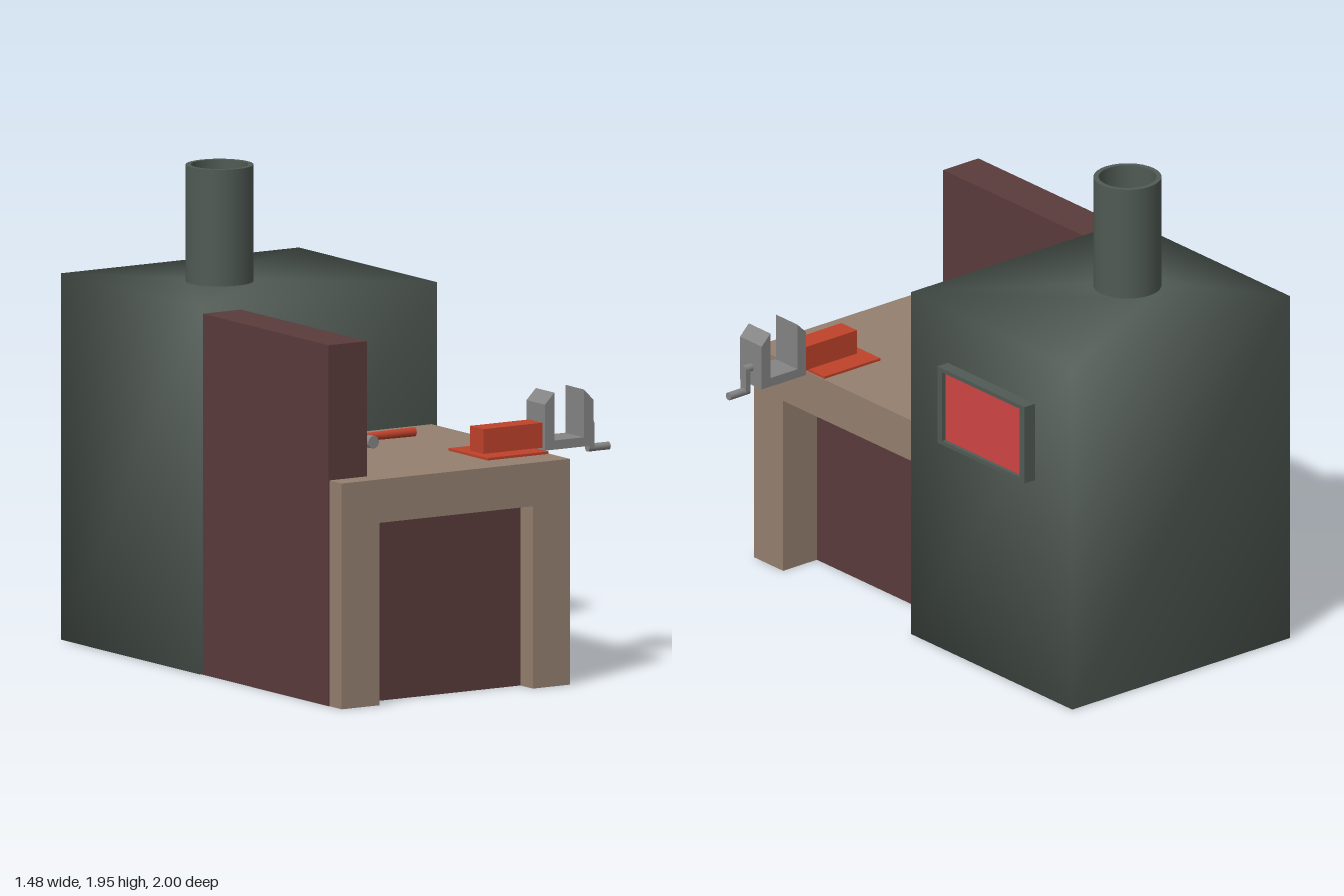
import * as THREE from 'three';
import { mergeGeometries, mergeVertices } from 'three/addons/utils/BufferGeometryUtils.js';

const mat = (name, color, side = THREE.FrontSide) => {
  const m = new THREE.MeshStandardMaterial({ color, side });
  m.name = name;
  return m;
};

export function createModel() {
  const iron = mat('furnaceIron', 0x505a54, THREE.DoubleSide);
  const tan = mat('tanWood', 0x94806f);
  const maroon = mat('maroonWood', 0x5a3b3b);
  const red = mat('toolRed', 0xbf422b);
  const steel = mat('steel', 0x848484);
  const glow = mat('windowGlow', 0xd04444);
  const model = new THREE.Group();
  model.name = 'forgeWorkbench';

  const add = (name, geo, material, parent = model) => {
    const mesh = new THREE.Mesh(geo, material);
    mesh.name = name;
    parent.add(mesh);
    return mesh;
  };
  const group = (name) => {
    const g = new THREE.Group();
    g.name = name;
    model.add(g);
    return g;
  };
  // Box given by its limits on each axis
  const box = (name, material, [x0, x1], [y0, y1], [z0, z1], parent) => {
    const g = new THREE.BoxGeometry(x1 - x0, y1 - y0, z1 - z0);
    g.translate((x0 + x1) / 2, (y0 + y1) / 2, (z0 + z1) / 2);
    return add(name, g, material, parent);
  };

  // Furnace body: a softly shaded box whose top is pierced by the chimney
  const furnace = group('furnace');
  const [x0, x1, y0, y1] = [-0.74, 0.39, 0.003, 1.48];
  const cx = -0.315, cz = -0.5;
  const sides = new THREE.BoxGeometry(x1 - x0, y1 - y0, 1);
  const index = Array.from(sides.index.array);
  index.splice(12, 6); // leave out the top face
  sides.setIndex(index);
  sides.translate((x0 + x1) / 2, (y0 + y1) / 2, -0.5);
  const topShape = new THREE.Shape([[x0, 0], [x1, 0], [x1, 1], [x0, 1]].map(p => new THREE.Vector2(...p)));
  topShape.holes.push(new THREE.Path().absarc(cx, -cz, 0.13, 0, Math.PI * 2, true));
  const top = new THREE.ShapeGeometry(topShape, 24).rotateX(-Math.PI / 2).translate(0, y1, 0);
  const parts = [sides, top].map(g => {
    const n = g.toNonIndexed();
    n.deleteAttribute('normal');
    n.deleteAttribute('uv');
    return n;
  });
  const body = mergeVertices(mergeGeometries(parts), 1e-4);
  body.computeVertexNormals();
  add('furnaceBody', body, iron, furnace);

  // Hollow chimney: outer wall, rim, inner wall and floor
  const tube = (name, r, h, y) =>
    add(name, new THREE.CylinderGeometry(r, r, h, 32, 1, true), iron, furnace).position.set(cx, y, cz);
  tube('chimneyOuter', 0.135, 0.47, 1.715);
  tube('chimneyInner', 0.115, 0.46, 1.72);
  add('chimneyRim', new THREE.RingGeometry(0.115, 0.135, 32).rotateX(-Math.PI / 2), iron, furnace).position.set(cx, 1.95, cz);
  add('chimneyFloor', new THREE.CircleGeometry(0.115, 32).rotateX(-Math.PI / 2), iron, furnace).position.set(cx, 1.49, cz);

  // Window frame and glowing pane
  const frame = new THREE.Shape([[-0.27, -0.165], [0.27, -0.165], [0.27, 0.165], [-0.27, 0.165]].map(p => new THREE.Vector2(...p)));
  frame.holes.push(new THREE.Path([[-0.24, -0.148], [-0.24, 0.148], [0.24, 0.148], [0.24, -0.148]].map(p => new THREE.Vector2(...p))));
  const frameGeo = new THREE.ExtrudeGeometry(frame, { depth: 0.055, bevelEnabled: false }).rotateY(Math.PI / 2);
  add('windowFrame', frameGeo, iron, furnace).position.set(0.39, 1.085, -0.5);
  box('windowPane', glow, [0.42, 0.428], [0.937, 1.233], [-0.74, -0.26], furnace);

  // Workbench
  const bench = group('workbench');
  box('benchTop', tan, [-0.72, 0.365], [0.735, 0.91], [0, 1], bench);
  box('frontLegLeft', tan, [0.19, 0.365], [0, 0.735], [0.82, 1], bench);
  box('frontLegRight', tan, [-0.72, -0.54], [0, 0.735], [0.82, 1], bench);
  box('benchCore', maroon, [-0.718, 0.19], [0, 0.736], [-0.25, 0.909], bench);
  box('backBoard', maroon, [-0.723, -0.54], [0, 1.455], [-0.91, 0.91], bench);

  // Vise: red base, U-shaped steel jaws, crank
  const vise = group('vise');
  box('visePlate', red, [0.07, 0.36], [0.91, 0.92], [0.57, 0.855], vise);
  box('viseBlock', red, [0.11, 0.39], [0.919, 1.02], [0.667, 0.763], vise);
  const jaws = new THREE.Shape([
    [0.39, 0.91], [0.62, 0.91], [0.62, 1.095], [0.575, 1.14], [0.575, 0.947],
    [0.435, 0.947], [0.435, 1.14], [0.39, 1.095],
  ].map(p => new THREE.Vector2(...p)));
  add('viseJaws', new THREE.ExtrudeGeometry(jaws, { depth: 0.134, bevelEnabled: false }), steel, vise).position.z = 0.648;
  const rod = (name, r, a, b) => {
    const m = add(name, new THREE.CylinderGeometry(r, r, b - a, 12).rotateZ(Math.PI / 2), steel, vise);
    m.position.x = (a + b) / 2;
    return m;
  };
  Object.assign(rod('viseScrew', 0.016, 0.6, 0.64).position, { y: 0.985, z: 0.715 });
  Object.assign(rod('crankHandle', 0.016, 0.65, 0.737).position, { y: 0.89, z: 0.715 });
  const arm = new THREE.Shape();
  arm.absarc(0, 0.985, 0.016, 0, Math.PI, false);
  arm.absarc(0, 0.89, 0.016, Math.PI, Math.PI * 2, false);
  add('crankArm', new THREE.ExtrudeGeometry(arm, { depth: 0.025, bevelEnabled: false }).rotateY(Math.PI / 2), steel, vise)
    .position.set(0.635, 0, 0.715);

  // Hammer lying on the bench
  const hammer = group('hammer');
  const handle = new THREE.CylinderGeometry(0.016, 0.019, 0.26, 12).rotateZ(Math.PI / 2).scale(1, 1, 0.85);
  add('hammerHandle', handle, red, hammer).position.set(-0.02, 0.94, 0.265);
  // Head sections along z: z, half width, half height, sideways shift
  const rows = [
    [0.39, 0.025, 0.026, 0], [0.355, 0.025, 0.026, 0], [0.345, 0.018, 0.018, 0],
    [0.32, 0.019, 0.018, 0], [0.29, 0.028, 0.022, 0.005], [0.25, 0.028, 0.023, 0.005],
    [0.21, 0.021, 0.028, 0.004], [0.17, 0.01, 0.034, 0.009], [0.14, 0.002, 0.037, 0.014],
  ];
  const head = new THREE.CylinderGeometry(1, 1, rows.length - 1, 14, rows.length - 1).rotateX(Math.PI / 2);
  const pos = head.attributes.position;
  for (let i = 0; i < pos.count; i++) {
    const [z, w, h, shift] = rows[Math.round((rows.length - 1) / 2 - pos.getZ(i))];
    pos.setXYZ(i, pos.getX(i) * w + shift, pos.getY(i) * h, z);
  }
  head.computeVertexNormals();
  add('hammerHead', head, steel, hammer).position.set(-0.167, 0.94, 0);

  return model;
}
